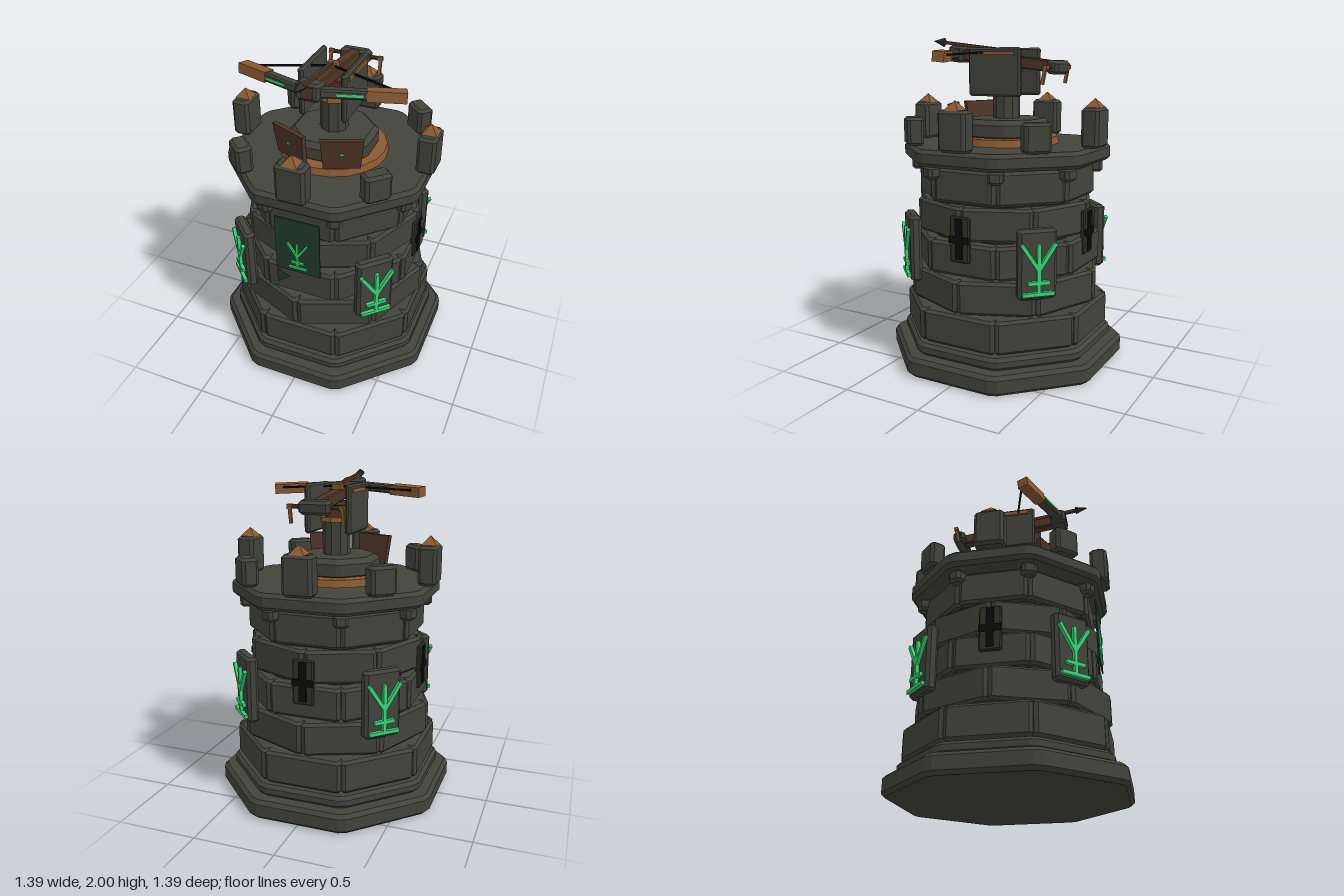
import * as THREE from 'three';

const mat = (name, color) => {
  const m = new THREE.MeshStandardMaterial({ color });
  m.name = name;
  return m;
};
const stone = mat('stone', 0x42433b);
const darkStone = mat('darkStone', 0x30312b);
const wood = mat('lightWood', 0x8a5a32);
const brown = mat('darkWood', 0x4f3426);
const glow = mat('runeGreen', 0x33d676);
const cloth = mat('bannerGreen', 0x213a28);
const black = mat('black', 0x0b0b0b);

// Upright prism with chamfered top and bottom edges, base at y = 0
function prism(points, h, b) {
  const shape = new THREE.Shape(points.map(([x, z]) => new THREE.Vector2(x, -z)).reverse());
  const g = new THREE.ExtrudeGeometry(shape, {
    depth: h - 2 * b, bevelEnabled: b > 0, bevelThickness: b, bevelSize: b, bevelOffset: -b, bevelSegments: 1,
  });
  return g.translate(0, 0, b).rotateX(-Math.PI / 2);
}

// Centred box with every edge chamfered
function block(w, h, d, b = 0) {
  if (!b) return new THREE.BoxGeometry(w, h, d);
  const x = w / 2, z = d / 2;
  const pts = [[x, z - b], [x - b, z], [b - x, z], [-x, z - b], [-x, b - z], [b - x, -z], [x - b, -z], [x, b - z]];
  return prism(pts, h, b * 0.95).translate(0, -h / 2, 0);
}

// Octagonal slab with flats on the axes and trimmed corners
function octagon(apothem, h, b, cut = 0.03) {
  const half = apothem * Math.tan(Math.PI / 8) - cut, pts = [];
  for (let i = 0; i < 8; i++) {
    const a = -i * Math.PI / 4;
    for (const t of [half, -half]) {
      pts.push([apothem * Math.sin(a) + t * Math.cos(a), apothem * Math.cos(a) - t * Math.sin(a)]);
    }
  }
  return prism(pts, h, b);
}

function flat(g) {
  const f = g.index ? g.toNonIndexed() : g;
  f.computeVertexNormals();
  return f;
}
const cylinder = (r0, r1, h, n) => flat(new THREE.CylinderGeometry(r0, r1, h, n));

function add(parent, name, geometry, material, x = 0, y = 0, z = 0) {
  const m = new THREE.Mesh(geometry, material);
  m.name = name;
  m.position.set(x, y, z);
  parent.add(m);
  return m;
}

// Square beam from a to b
function beam(parent, name, material, a, b, w, h, bevel = 0) {
  const p = new THREE.Vector3(...a), q = new THREE.Vector3(...b);
  const m = new THREE.Mesh(block(w, h, p.distanceTo(q), bevel), material);
  m.name = name;
  m.position.copy(p).add(q).multiplyScalar(0.5);
  m.lookAt(q);
  parent.add(m);
  return m;
}

// Group turned to face outwards at an angle around the tower
function facing(parent, name, angle) {
  const g = new THREE.Group();
  g.name = name;
  g.rotation.y = angle;
  parent.add(g);
  return g;
}

// Branching rune, its foot at the given y
function rune(parent, y, z, s) {
  const bar = (x0, y0, x1, y1) =>
    beam(parent, 'rune', glow, [x0 * s, y + y0 * s, z], [x1 * s, y + y1 * s, z], 0.022 * s, 0.022 * s);
  bar(0, 0, 0, 0.3);
  bar(-0.095, 0.01, 0.095, 0.01);
  bar(-0.065, 0.075, 0.065, 0.075);
  for (const k of [-1, 1]) bar(0, 0.15, 0.1 * k, 0.3);
}

function buildTower(tower) {
  add(tower, 'base', octagon(0.695, 0.12, 0.022), stone);
  add(tower, 'plinth', octagon(0.625, 0.075, 0.02), stone, 0, 0.12);
  add(tower, 'core', octagon(0.47, 1.1, 0.01), darkStone, 0, 0.17);
  add(tower, 'parapetFloor', octagon(0.605, 0.1, 0.022), stone, 0, 1.26);

  // Courses of stones, alternately centred on faces and corners
  let seed = 7;
  const rand = () => (seed = (seed * 16807) % 2147483647) / 2147483647 - 0.5;
  [0.6, 0.567, 0.548, 0.52, 0.515].forEach((r, row) => {
    for (let i = 0; i < 8; i++) {
      const g = facing(tower, 'stoneCourse', (i + (row % 2) / 2) * Math.PI / 4);
      const w = 2 * r * Math.tan(Math.PI / 8) - 0.018, front = r + rand() * 0.008;
      add(g, 'stoneBlock', block(w, 0.2, 0.16, 0.018), stone, 0, 0.303 + row * 0.211, front - 0.08);
    }
  });

  for (let i = 0; i < 8; i++) {
    // Corbels under the parapet
    const corner = facing(tower, 'corbels', (i + 0.5) * Math.PI / 4);
    add(corner, 'corbel', block(0.09, 0.08, 0.12, 0.018), stone, 0, 1.222, 0.54);

    // Merlons: tall with caps on the faces, short on the diagonals
    const g = facing(tower, 'wallSide', i * Math.PI / 4);
    if (i % 2 === 0) {
      add(g, 'tallMerlon', block(0.18, 0.235, 0.11, 0.018), stone, 0, 1.475, 0.588);
      const cap = cylinder(0, 0.068, 0.055, 4).rotateY(Math.PI / 4);
      add(g, 'merlonCap', cap, wood, 0, 1.618, 0.588);
    } else {
      add(g, 'shortMerlon', block(0.16, 0.17, 0.1, 0.018), stone, 0, 1.443, 0.58);
      add(g, 'runePanel', block(0.23, 0.41, 0.07, 0.018), stone, 0, 0.735, 0.6);
      rune(g, 0.56, 0.645, 1);
    }
    // Arrow slits on the sides and back
    if (i === 2 || i === 4 || i === 6) {
      add(g, 'slitPlate', block(0.13, 0.27, 0.03, 0.008), darkStone, 0, 0.85, 0.55);
      add(g, 'arrowSlit', block(0.045, 0.24, 0.009), black, 0, 0.855, 0.569);
      add(g, 'arrowSlit', block(0.13, 0.04, 0.009), black, 0, 0.85, 0.57);
    }
  }

  // Front banner with a torn tail
  add(tower, 'banner', block(0.28, 0.38, 0.008), cloth, 0, 1.0, 0.559);
  const tail = new THREE.Shape([[-0.14, 0.79], [-0.14, 0.69], [-0.06, 0.75]].map(p => new THREE.Vector2(...p)));
  add(tower, 'bannerTail', new THREE.ExtrudeGeometry(tail, { depth: 0.008, bevelEnabled: false }), cloth, 0, 0, 0.553);
  rune(tower, 0.84, 0.568, 0.61);
}

function buildMount(mount) {
  add(mount, 'turntable', cylinder(0.32, 0.33, 0.045, 20), wood, 0, 1.38);
  add(mount, 'pedestal', octagon(0.25, 0.13, 0.03, 0.015), stone, 0, 1.38);
  add(mount, 'post', cylinder(0.085, 0.085, 0.22, 10), stone, 0, 1.61);
  add(mount, 'collar', cylinder(0.1, 0.105, 0.028, 8), wood, 0, 1.722);
  add(mount, 'yoke', block(0.11, 0.1, 0.11), brown, 0, 1.78);
  add(mount, 'pivotAxle', cylinder(0.025, 0.025, 0.25, 8).rotateZ(Math.PI / 2), stone, 0, 1.81, -0.035);
  for (const s of [-1, 1]) {
    add(mount, 'sidePlate', block(0.035, 0.29, 0.355, 0.012), stone, s * 0.128, 1.79, 0.01);
    add(mount, 'plateTrim', block(0.01, 0.022, 0.28), wood, s * 0.149, 1.9, 0.01);

    // Angled wooden shields, wider and leaning out at the top
    const shield = facing(mount, 'shield', s * 0.4);
    shield.position.set(s * 0.158, 1.505, 0.275);
    const board = new THREE.BoxGeometry(0.23, 0.19, 0.03), p = board.attributes.position;
    for (let i = 0; i < p.count; i++) {
      p.setX(i, p.getX(i) * (1 + p.getY(i) * 0.7));
      p.setZ(i, p.getZ(i) + p.getY(i) * 0.12);
    }
    add(shield, 'shieldBoard', flat(board), brown);
    add(shield, 'shieldGem', block(0.022, 0.014, 0.009), glow, 0, 0.005, 0.018);
  }
}

function buildBow(bow) {
  bow.position.y = 1.86;
  bow.rotation.x = -0.115;
  add(bow, 'stock', block(0.07, 0.07, 0.68, 0.008), brown, 0, 0, -0.01);
  add(bow, 'frontBlock', block(0.14, 0.1, 0.1, 0.015), stone, 0, 0, 0.335);
  add(bow, 'frontPlate', block(0.07, 0.065, 0.008), brown, 0, 0, 0.387);
  add(bow, 'rearBlock', block(0.19, 0.08, 0.08, 0.018), stone, 0, 0, -0.35);
  add(bow, 'winchAxle', cylinder(0.013, 0.013, 0.34, 8).rotateZ(Math.PI / 2), brown, 0, 0, -0.345);
  add(bow, 'nut', block(0.06, 0.035, 0.05), wood, 0, 0.05, 0.03);

  // Arms, string and cranks, mirrored
  for (const s of [-1, 1]) {
    beam(bow, 'innerArm', stone, [s * 0.05, 0, 0.34], [s * 0.3, 0, 0.247], 0.065, 0.05, 0.01);
    beam(bow, 'armRune', glow, [s * 0.15, 0, 0.336], [s * 0.28, 0, 0.288], 0.01, 0.014);
    beam(bow, 'outerArm', wood, [s * 0.285, 0, 0.252], [s * 0.485, 0, 0.177], 0.07, 0.06);
    beam(bow, 'string', black, [s * 0.42, 0.012, 0.16], [0, 0.05, 0.045], 0.011, 0.011);
    beam(bow, 'crank', wood, [s * 0.16, 0.01, -0.345], [s * 0.16, -0.1, -0.335], 0.018, 0.018);
    add(bow, 'crankKnob', block(0.03, 0.025, 0.025), wood, s * 0.158, 0, -0.345);
  }

  // Loaded bolt
  beam(bow, 'boltShaft', brown, [0, 0.058, 0.02], [0, 0.058, 0.47], 0.02, 0.02);
  add(bow, 'boltHead', cylinder(0, 0.03, 0.085, 4).rotateX(Math.PI / 2), darkStone, 0, 0.058, 0.503);
}

export function createModel() {
  const model = new THREE.Group();
  model.name = 'ballistaTower';
  buildTower(facing(model, 'tower', 0));
  buildMount(facing(model, 'mount', 0));
  buildBow(facing(model, 'bow', 0));
  return model;
}
